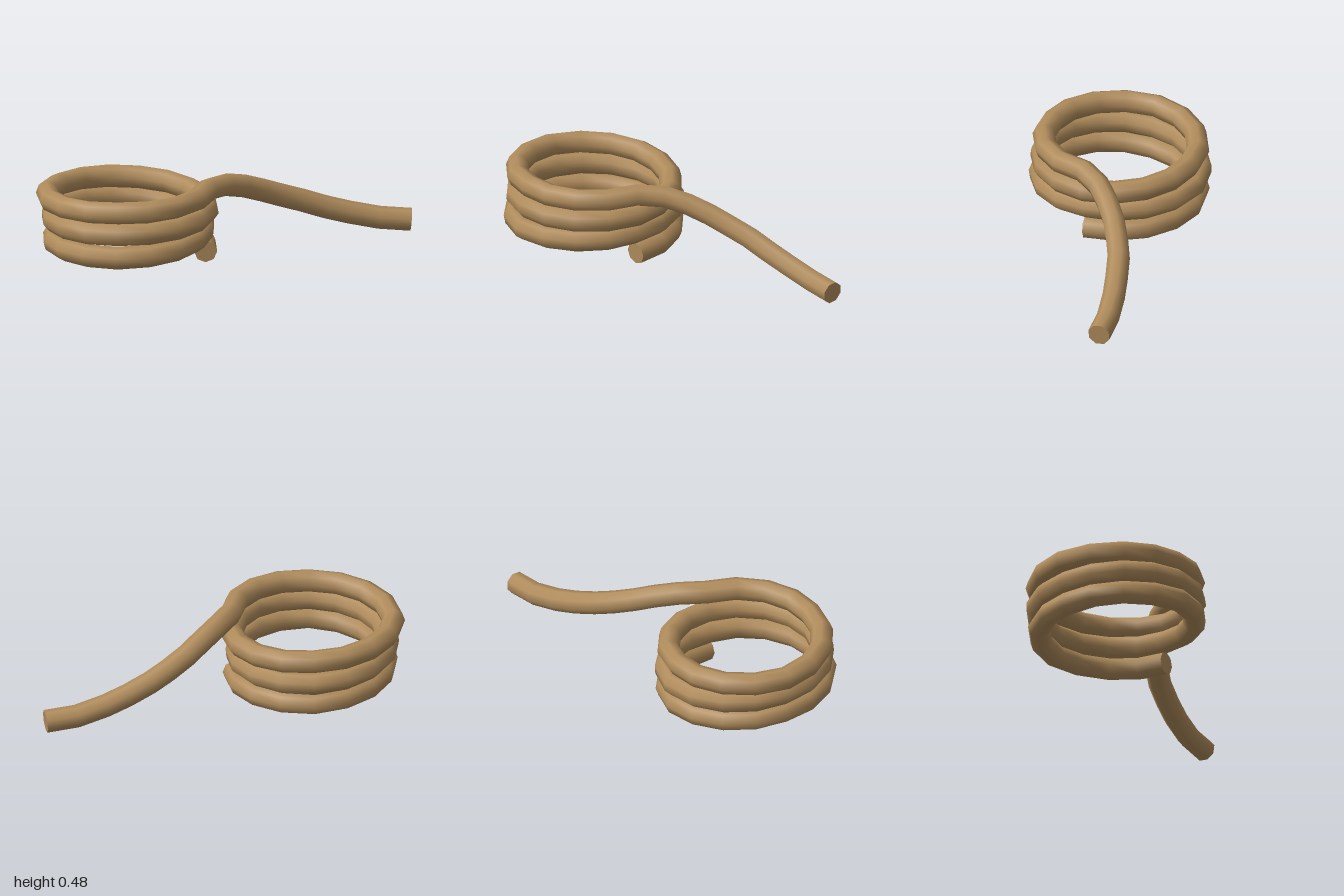
import * as THREE from 'three';

const TUBE = 0.063, SIDES = 8, STEPS = 16; // steps per turn

// Hand-laid coil: distance from the axis and height at every quarter turn
const RADII = [0.425, 0.435, 0.41, 0.45, 0.41, 0.45, 0.42, 0.43, 0.435, 0.42, 0.45, 0.41, 0.44];
const HEIGHTS = [0.063, 0.085, 0.125, 0.155, 0.183, 0.215, 0.25, 0.283, 0.3, 0.335, 0.365, 0.4, 0.422];
// Loose end that slides down to the ground
const TAIL = [
  [0.03, 0.41, -0.05], [0.115, 0.375, -0.145], [0.205, 0.327, -0.23], [0.305, 0.278, -0.3],
  [0.405, 0.235, -0.36], [0.53, 0.185, -0.41], [0.655, 0.145, -0.455], [0.815, 0.107, -0.5], [0.987, 0.093, -0.53],
];

function lerpTable(table, t) {
  const i = Math.min(Math.floor(t), table.length - 2);
  return THREE.MathUtils.lerp(table[i], table[i + 1], t - i);
}

function ropePoints() {
  const points = [];
  for (let i = 0; i <= STEPS * 3; i++) {
    const a = (i / STEPS) * Math.PI * 2, q = (i / STEPS) * 4;
    const r = lerpTable(RADII, q);
    points.push(new THREE.Vector3(-0.49 + r * Math.cos(a), lerpTable(HEIGHTS, q), 0.08 - r * Math.sin(a)));
  }
  TAIL.forEach((p) => points.push(new THREE.Vector3(...p)));
  return points;
}

// Curve that places one tube ring on each point
class RopeCurve extends THREE.Curve {
  constructor(points) {
    super();
    this.points = points;
  }
  getPoint(t, target = new THREE.Vector3()) {
    const f = t * (this.points.length - 1);
    const i = Math.min(Math.floor(f + 1e-6), this.points.length - 2);
    return target.lerpVectors(this.points[i], this.points[i + 1], f - i);
  }
  getPointAt(u, target) {
    return this.getPoint(u, target);
  }
  getTangentAt(u, target = new THREE.Vector3()) {
    const n = this.points.length - 1, i = Math.round(u * n);
    const before = this.points[Math.max(i - 1, 0)], here = this.points[i], after = this.points[Math.min(i + 1, n)];
    // bisect the two neighbouring directions
    return target.copy(after).sub(here).normalize().add(here.clone().sub(before).normalize()).normalize();
  }
}

// Flat fan closing one ring of the tube
function capGeometry(tube, ring, centre, reverse) {
  const p = tube.attributes.position, verts = [];
  const corner = (j) => new THREE.Vector3().fromBufferAttribute(p, ring * (SIDES + 1) + j);
  for (let j = 0; j < SIDES; j++) {
    const edge = reverse ? [corner(j + 1), corner(j)] : [corner(j), corner(j + 1)];
    verts.push(centre, ...edge);
  }
  const geo = new THREE.BufferGeometry().setFromPoints(verts);
  geo.computeVertexNormals();
  return geo;
}

export function createModel() {
  const group = new THREE.Group();
  group.name = 'coiledRope';
  const material = new THREE.MeshStandardMaterial({ color: 0xb08c5c, side: THREE.DoubleSide });
  const add = (geometry, name) => {
    const mesh = new THREE.Mesh(geometry, material);
    mesh.name = name;
    group.add(mesh);
  };

  const points = ropePoints(), last = points.length - 1;
  const tube = new THREE.TubeGeometry(new RopeCurve(points), last, TUBE, SIDES, false);
  add(tube, 'rope');
  add(capGeometry(tube, 0, points[0], false), 'lowerEnd');
  add(capGeometry(tube, last, points[last], true), 'looseEnd');
  return group;
}
